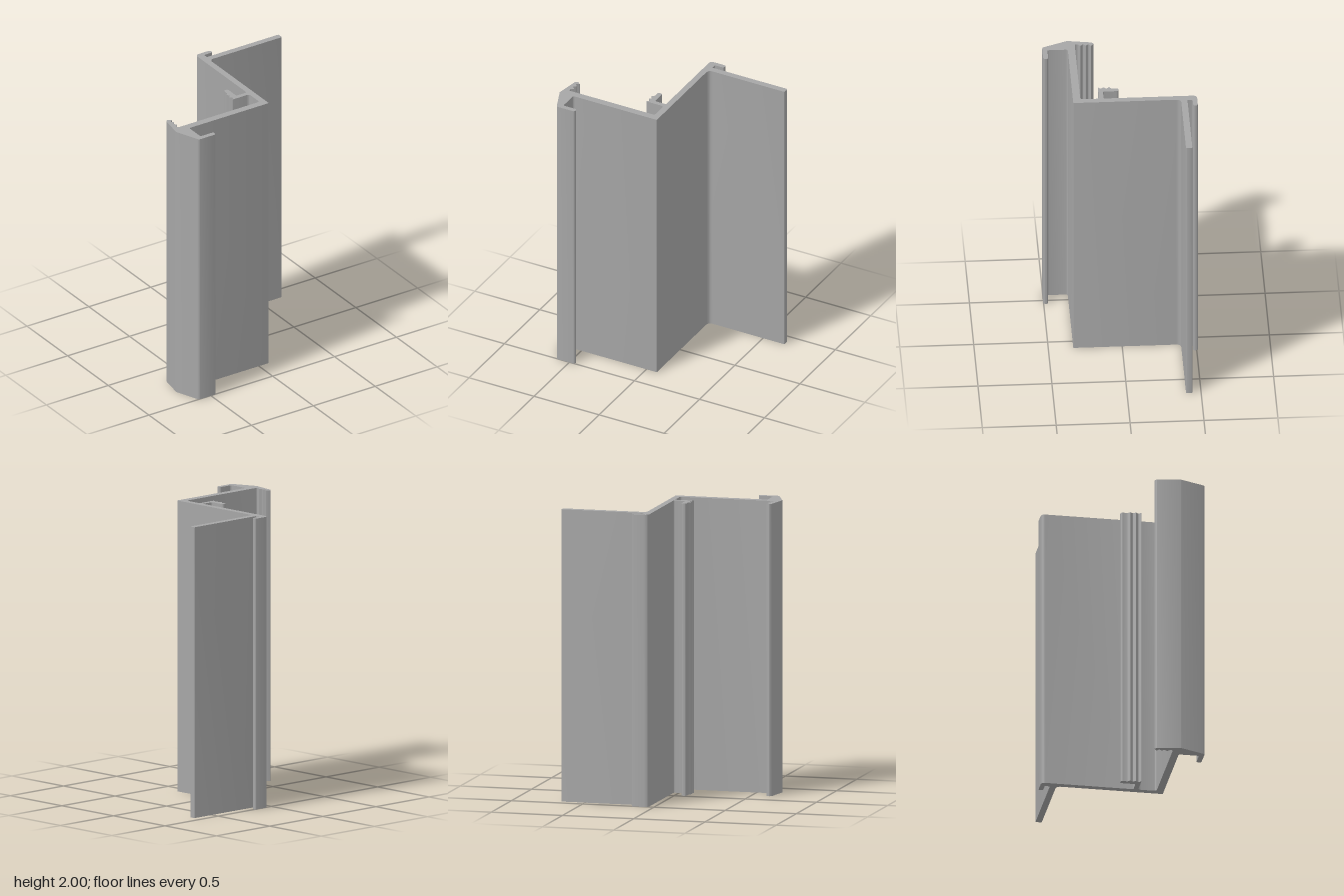
import * as THREE from 'three';
import { toCreasedNormals } from 'three/addons/utils/BufferGeometryUtils.js';

const LENGTH = 2;

// Closed outline from [x, z, cornerRadius] points, each corner rounded by its radius
function roundedOutline(points) {
  const shape = new THREE.Shape();
  const at = (i) => {
    const p = points[(i + points.length) % points.length];
    return new THREE.Vector2(p[0], -p[1]);
  };
  points.forEach(([, , radius = 0], i) => {
    const corner = at(i);
    const toPrev = at(i - 1).sub(corner);
    const toNext = at(i + 1).sub(corner);
    const half = Math.abs(toPrev.angleTo(toNext)) / 2;
    const cut = Math.min(radius / Math.tan(half), toPrev.length() * 0.49, toNext.length() * 0.49);
    const a = corner.clone().addScaledVector(toPrev.normalize(), cut);
    const b = corner.clone().addScaledVector(toNext.normalize(), cut);
    if (i === 0) shape.moveTo(a.x, a.y);
    else shape.lineTo(a.x, a.y);
    if (cut > 0) shape.quadraticCurveTo(corner.x, corner.y, b.x, b.y);
  });
  shape.closePath();
  return shape;
}

export function createModel() {
  const aluminium = new THREE.MeshStandardMaterial({ color: 0xa6a6a6 });
  aluminium.name = 'aluminium';

  const profile = [
    // right flange and outer side of the web
    [0.665, -0.441, 0.008], [0.665, -0.398, 0.008],
    [0.08, -0.398, 0.035], [0.08, 0.331, 0.006],
    // front hook under the left flange
    [-0.563, 0.331, 0.015], [-0.563, 0.469, 0.014],
    [-0.459, 0.469, 0.016], [-0.459, 0.503, 0.016],
    [-0.597, 0.503, 0.022], [-0.667, 0.33, 0.006],
    // toothed left lip
    [-0.64, 0.166, 0.01], [-0.624, 0.153, 0.004], [-0.598, 0.172, 0.002],
    [-0.62, 0.188, 0.007], [-0.602, 0.207, 0.004],
    [-0.622, 0.225, 0.007], [-0.602, 0.244, 0.004],
    [-0.622, 0.26, 0.007], [-0.622, 0.281, 0.012],
    // left flange back face up to the web
    [0.037, 0.281, 0.02], [0.037, 0.155, 0.02],
    // toothed inner hook
    [-0.098, 0.155, 0.002], [-0.08, 0.137, 0.006],
    [-0.098, 0.117, 0.004], [-0.081, 0.098, 0.006],
    [-0.098, 0.079, 0.004], [-0.081, 0.064, 0.004],
    [-0.081, 0.016, 0.017], [-0.046, 0.016, 0.017],
    [-0.046, 0.123, 0.012], [0.037, 0.123, 0.01],
    // web top with its small rear hook
    [0.037, -0.508, 0.03], [0.156, -0.508, 0.016],
    [0.156, -0.476, 0.016], [0.087, -0.476, 0.006], [0.087, -0.441, 0.004],
  ];

  // Stand the extrusion upright
  const extrusion = new THREE.ExtrudeGeometry(roundedOutline(profile), {
    depth: LENGTH, bevelEnabled: false, curveSegments: 6,
  });
  extrusion.rotateX(-Math.PI / 2);

  const mesh = new THREE.Mesh(toCreasedNormals(extrusion, Math.PI / 6), aluminium);
  mesh.name = 'extrudedProfile';

  const group = new THREE.Group();
  group.name = 'edgeProfile';
  group.add(mesh);
  return group;
}
